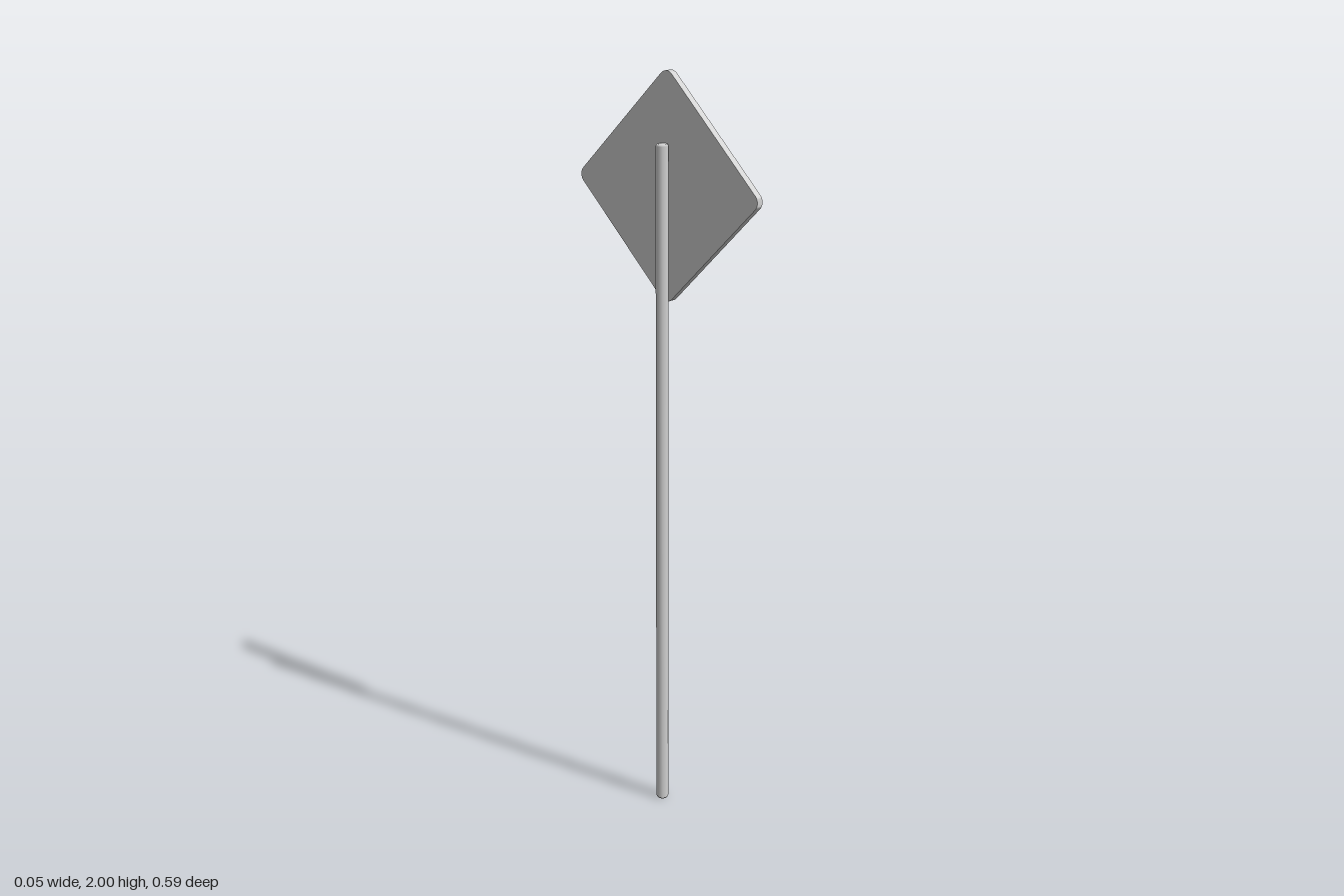
import * as THREE from 'three';
import { toCreasedNormals } from 'three/addons/utils/BufferGeometryUtils.js';

// Diamond outline with rounded tips; half = distance from centre to the sharp tip
function diamond(half, radius) {
  const shape = new THREE.Shape();
  const c = half - radius * Math.SQRT2; // centre of each tip's arc
  for (let i = 0; i < 4; i++) {
    const a = (i * Math.PI) / 2;
    shape.absarc(c * Math.cos(a), c * Math.sin(a), radius, a - Math.PI / 4, a + Math.PI / 4, false);
  }
  shape.closePath();
  return shape;
}

export function createModel() {
  const group = new THREE.Group();
  const grey = new THREE.MeshStandardMaterial({ color: 0xd2d2d2 });
  grey.name = 'light grey';
  const yellow = new THREE.MeshStandardMaterial({ color: 0xd2a80d });
  yellow.name = 'sign yellow';

  const add = (name, geometry, material, x, y, z) => {
    const mesh = new THREE.Mesh(geometry, material);
    mesh.name = name;
    mesh.position.set(x, y, z);
    group.add(mesh);
    return mesh;
  };

  // Eight-sided post with softened ends
  const r = 0.0165, h = 1.82;
  const profile = [[0, 0], [r * 0.85, 0], [r, 0.005], [r, h - 0.005], [r * 0.85, h], [0, h]]
    .map(([x, y]) => new THREE.Vector2(x, y));
  add('post', new THREE.LatheGeometry(profile, 8), grey, -0.0095, 0, -0.002);

  // Sign plate, facing +x
  const plate = new THREE.ExtrudeGeometry(diamond(0.304, 0.025), { depth: 0.02, bevelEnabled: false, curveSegments: 6 });
  plate.rotateY(Math.PI / 2);
  add('signPlate', toCreasedNormals(plate, 0.6), grey, 0.005, 1.707, -0.001);

  // Yellow centre panel on the face of the plate
  const panel = new THREE.BoxGeometry(0.001, 0.165 * Math.SQRT2, 0.165 * Math.SQRT2);
  add('yellowPanel', panel, yellow, 0.0255, 1.707, -0.001).rotation.x = Math.PI / 4;

  return group;
}
